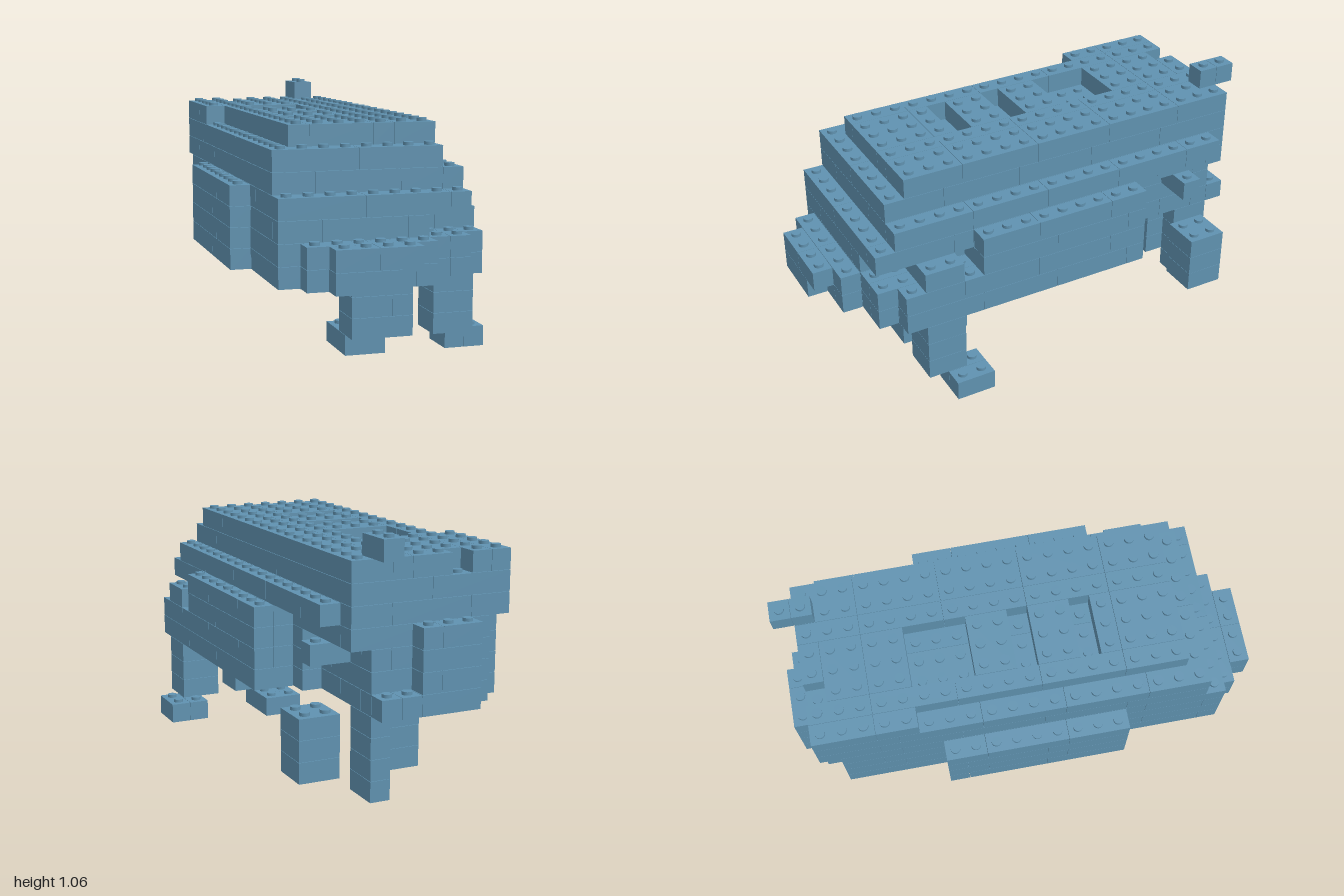
import * as THREE from 'three';
import { mergeGeometries } from 'three/addons/utils/BufferGeometryUtils.js';

const P = 2 / 23;          // stud pitch, also the brick height
const GAP = 0.0016;        // seam between bricks
const COLS = 12, ROWS = 23;

// part name -> blocks [layer0, layer1, col0, col1, row0, row1], ends exclusive;
// columns run along +x, rows along +z
const PARTS = {
  bodyFloor: [
    [4, 6, 1, 8, 2, 21], [4, 6, 2, 8, 1, 2], [4, 6, 8, 9, 6, 21],
    [4, 6, 9, 10, 7, 21], [4, 6, 10, 11, 7, 20],
  ],
  bodyWalls: [
    [6, 7, 1, 8, 2, 21], [6, 7, 2, 8, 1, 2], [6, 7, 8, 9, 6, 19],
    [7, 8, 1, 9, 2, 21], [7, 8, 2, 9, 1, 2], [6, 8, 9, 10, 7, 16],
    [7, 8, 9, 10, 16, 21],
  ],
  leftFlank: [[6, 8, 10, 11, 7, 16]],
  rightFlank: [[4, 8, 0, 1, 7, 16]],
  leftLedge: [[8, 9, 9, 10, 2, 20]],
  upperBody: [[8, 10, 1, 9, 1, 20]],
  // top layer, with three recesses in the middle
  roof: [
    [10, 11, 1, 2, 1, 6], [10, 11, 2, 3, 1, 19], [10, 11, 3, 6, 2, 6],
    [10, 11, 4, 6, 1, 2], [10, 11, 3, 6, 9, 11], [10, 11, 3, 6, 12, 14],
    [10, 11, 3, 6, 15, 19], [10, 11, 6, 9, 1, 19],
  ],
  roofStub: [[11, 12, 7, 8, 0, 2]],
  snout: [[4, 6, 2, 8, 21, 22], [4, 5, 3, 6, 22, 23], [5, 6, 3, 7, 22, 23]],
  rearPanel: [[4, 8, 3, 6, 0, 1], [4, 5, 6, 8, 0, 1]],
  rearSideBlock: [[6, 7, 8, 10, 3, 4]],
  leftShoulder: [[6, 7, 9, 11, 17, 19]],
  frontLeftLeg: [[1, 4, 9, 11, 17, 19]],
  frontLeftFoot: [[0, 1, 10, 12, 16, 18]],
  frontRightLeg: [[1, 4, 5, 8, 17, 19]],
  frontRightFoot: [[0, 1, 5, 7, 15, 18]],
  rearLeftLeg: [[1, 4, 9, 11, 2, 4]],
  rearRightLeg: [[1, 4, 5, 7, 2, 4], [0, 4, 7, 8, 1, 3]],
};

// cut a span into brick lengths, staggered from layer to layer
function cuts(a, b, step, shift) {
  const edges = [a];
  for (let i = a + 1; i < b; i++) if ((i + shift) % step === 0) edges.push(i);
  edges.push(b);
  return edges;
}

const xAt = c => (c - COLS / 2) * P;
const zAt = r => (r - ROWS / 2) * P;

function brick(layer, c0, c1, r0, r1) {
  return new THREE.BoxGeometry((c1 - c0) * P - GAP, P - GAP, (r1 - r0) * P - GAP)
    .translate(xAt((c0 + c1) / 2), (layer + 0.5) * P, zAt((r0 + r1) / 2));
}

function stud(layer, c, r) {
  return new THREE.CylinderGeometry(0.0205, 0.0205, 0.0135, 16)
    .translate(xAt(c + 0.5), (layer + 1) * P + 0.0058, zAt(r + 0.5));
}

function eachCell([l0, l1, c0, c1, r0, r1], visit) {
  for (let l = l0; l < l1; l++)
    for (let c = c0; c < c1; c++)
      for (let r = r0; r < r1; r++) visit(l, c, r);
}

export function createModel() {
  const model = new THREE.Group();
  model.name = 'brickAnimal';
  const blue = new THREE.MeshStandardMaterial({ color: 0x6092b0 });
  blue.name = 'steelBlue';

  // filled cells, so that studs only go where nothing sits on top
  const filled = new Set();
  for (const blocks of Object.values(PARTS))
    for (const block of blocks) eachCell(block, (l, c, r) => filled.add(`${l},${c},${r}`));

  for (const [name, blocks] of Object.entries(PARTS)) {
    const bricks = [], studs = [];
    for (const block of blocks) {
      const [l0, l1, c0, c1, r0, r1] = block;
      for (let l = l0; l < l1; l++) {
        const xs = cuts(c0, c1, 4, 1 + 2 * (l % 2));
        const zs = cuts(r0, r1, 4, 3 * (l % 2));
        for (let i = 1; i < xs.length; i++)
          for (let j = 1; j < zs.length; j++)
            bricks.push(brick(l, xs[i - 1], xs[i], zs[j - 1], zs[j]));
      }
      eachCell(block, (l, c, r) => {
        if (!filled.has(`${l + 1},${c},${r}`)) studs.push(stud(l, c, r));
      });
    }
    const part = new THREE.Group();
    part.name = name;
    const add = (label, list) => {
      if (!list.length) return;
      const mesh = new THREE.Mesh(mergeGeometries(list), blue);
      mesh.name = name + label;
      part.add(mesh);
    };
    add('Bricks', bricks);
    add('Studs', studs);
    model.add(part);
  }
  return model;
}
